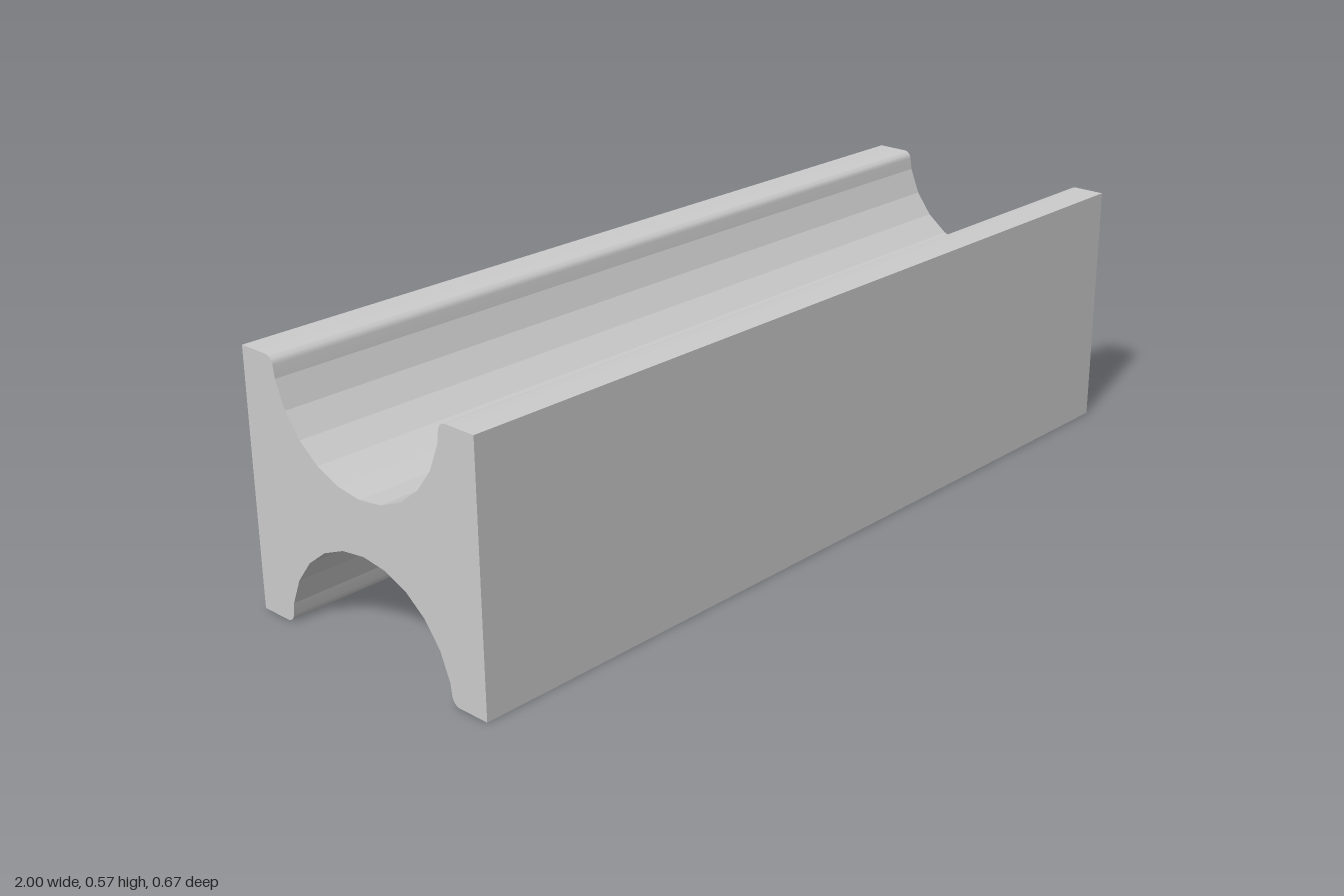
import * as THREE from 'three';
import { toCreasedNormals } from 'three/addons/utils/BufferGeometryUtils.js';

const HEIGHT = 0.568, HALF_DEPTH = 0.333, LENGTH = 2;
const GROOVE_RADIUS = 0.243, GROOVE_CENTRE = -0.018;
const LIP_RADIUS = 0.0206, LIP_CENTRE = 0.259;

// One quarter of the cross-section: groove middle, out to the lip, then the outer corner
function quarterProfile() {
  const points = [];
  for (let i = 0; i <= 5; i++) {
    const a = THREE.MathUtils.degToRad(i * 15);
    points.push([GROOVE_RADIUS * Math.sin(a), GROOVE_CENTRE + GROOVE_RADIUS * Math.cos(a)]);
  }
  // Rounded lip
  for (let i = 0; i <= 8; i++) {
    const a = THREE.MathUtils.degToRad(187 + (83 * i) / 8);
    points.push([LIP_CENTRE + LIP_RADIUS * Math.cos(a), LIP_RADIUS + LIP_RADIUS * Math.sin(a)]);
  }
  points.push([HALF_DEPTH, 0]);
  return points;
}

export function createModel() {
  const group = new THREE.Group();
  group.name = 'doubleGroovedBar';

  // Mirror the quarter into the whole outline, sharing the middle groove points
  const quarter = quarterProfile();
  const right = [...quarter, ...quarter.map(([z, y]) => [z, HEIGHT - y]).reverse()];
  const left = right.slice(1, -1).reverse().map(([z, y]) => [-z, y]);
  const shape = new THREE.Shape([...right, ...left].map(([z, y]) => new THREE.Vector2(z, y)));

  // Run the section along x; groove facets stay flat and the lips smooth
  const extruded = new THREE.ExtrudeGeometry(shape, { depth: LENGTH, bevelEnabled: false });
  extruded.translate(0, 0, -LENGTH / 2).rotateY(Math.PI / 2);
  const bar = new THREE.Mesh(
    toCreasedNormals(extruded, THREE.MathUtils.degToRad(13)),
    new THREE.MeshStandardMaterial({ color: 0xcccccc })
  );
  bar.name = 'groovedBar';
  group.add(bar);
  return group;
}
